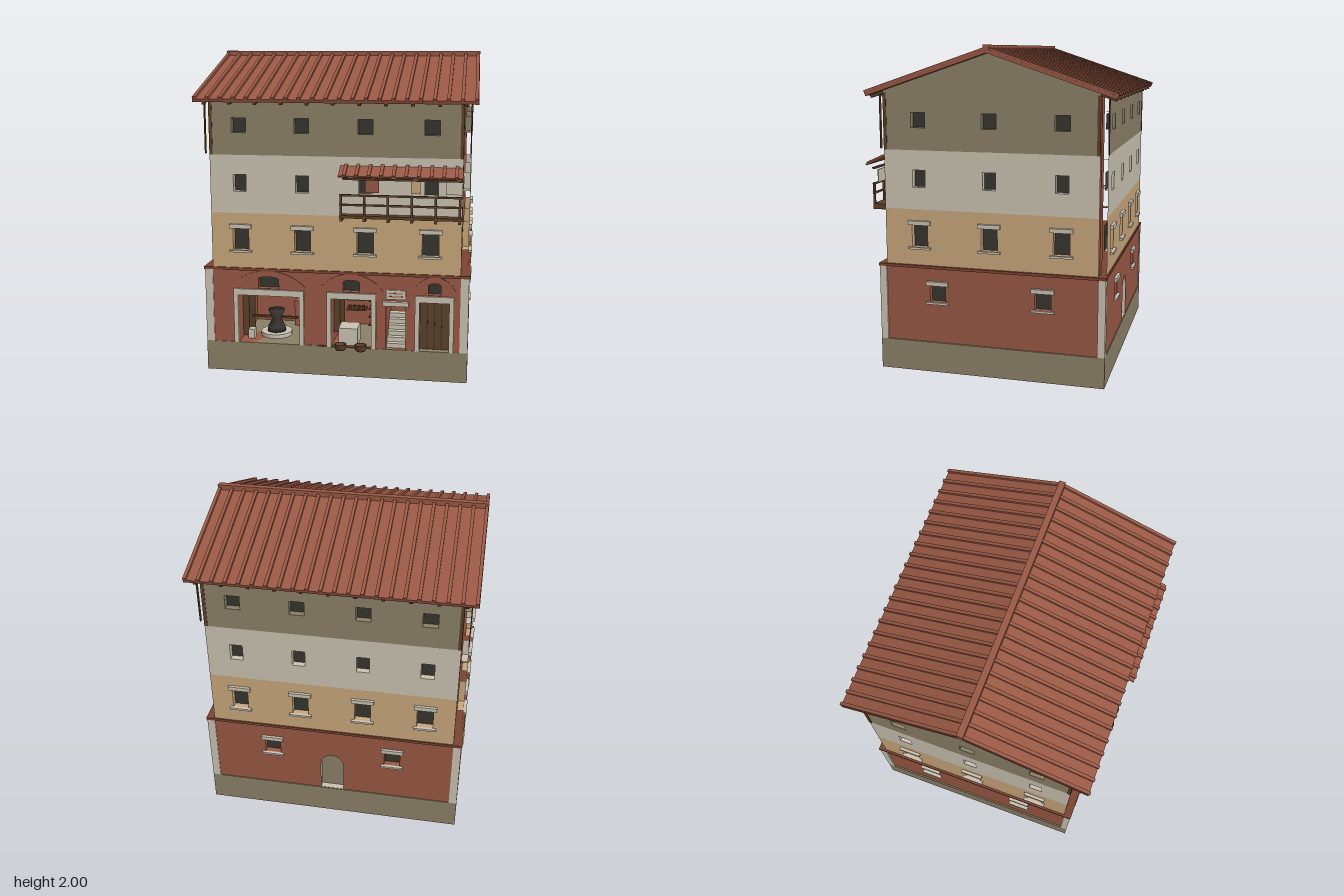
import * as THREE from 'three';

const mat = (name, color) => {
  const m = new THREE.MeshStandardMaterial({ color });
  m.name = name;
  return m;
};
const M = {
  olive: mat('olive plaster', 0x8c8168), cream: mat('cream plaster', 0xccc4b4),
  tan: mat('tan plaster', 0xcba87d), red: mat('brick red', 0x9a5945),
  wood: mat('dark wood', 0x5c4029), dark: mat('dark opening', 0x37352f),
  post: mat('red brown trim', 0x7c4433),
};

const add = (parent, name, geo, m, x = 0, y = 0, z = 0) => {
  const mesh = new THREE.Mesh(geo, m);
  mesh.name = name;
  mesh.position.set(x, y, z);
  parent.add(mesh);
  return mesh;
};
// Box given by its limits on each axis
const box = (parent, name, m, x0, x1, y0, y1, z0, z1) =>
  add(parent, name, new THREE.BoxGeometry(x1 - x0, y1 - y0, z1 - z0), m, (x0 + x1) / 2, (y0 + y1) / 2, (z0 + z1) / 2);
const group = (parent, name) => {
  const g = new THREE.Group();
  g.name = name;
  parent.add(g);
  return g;
};

// Opening outline, counterclockwise, with an optional curved top
function outline({ x, w, y0, y1, rise = 0 }) {
  const pts = [new THREE.Vector2(x - w / 2, y0), new THREE.Vector2(x + w / 2, y0)];
  const n = rise ? 10 : 1;
  for (let i = 0; i <= n; i++) {
    const a = (i / n) * Math.PI;
    pts.push(new THREE.Vector2(x + Math.cos(a) * w / 2, y1 - rise + Math.sin(a) * rise));
  }
  return pts;
}

// Inward-facing sides of a recess
function reveal(pts, depth) {
  const pos = [];
  pts.forEach((p, i) => {
    const q = pts[(i + 1) % pts.length];
    pos.push(p.x, p.y, 0, q.x, q.y, 0, q.x, q.y, -depth, p.x, p.y, 0, q.x, q.y, -depth, p.x, p.y, -depth);
  });
  const g = new THREE.BufferGeometry();
  g.setAttribute('position', new THREE.Float32BufferAttribute(pos, 3));
  g.computeVertexNormals();
  return g;
}

// One storey of one facade: a sheet with recessed openings
function storey(parent, name, m, half, y0, y1, openings) {
  const g = group(parent, name);
  const shape = new THREE.Shape(outline({ x: 0, w: half * 2, y0, y1 }));
  for (const o of openings) {
    const pts = outline(o), depth = o.depth ?? 0.04;
    shape.holes.push(new THREE.Path(pts.slice().reverse()));
    add(g, 'reveal', reveal(pts, depth), o.side ?? m);
    add(g, 'pane', new THREE.ShapeGeometry(new THREE.Shape(pts)), o.pane ?? M.dark, 0, 0, -depth);
    if (o.trim) {
      box(g, 'lintel', M.cream, o.x - 0.07, o.x + 0.07, o.y1 - 0.02, o.y1 + 0.006, 0, 0.018);
      box(g, 'sill', M.cream, o.x - 0.07, o.x + 0.07, o.y0 - 0.01, o.y0 + 0.003, 0, 0.02);
    }
  }
  add(g, 'wall', new THREE.ShapeGeometry(shape), m);
}

const row = (xs, w, y0, y1, trim) => xs.map(x => ({ x, w, y0, y1, trim }));

function facade(parent, name, angle, dist, half, xs, ground) {
  const f = group(parent, name);
  f.rotation.y = angle;
  f.position.set(Math.sin(angle) * dist, 0, Math.cos(angle) * dist);
  storey(f, 'groundStorey', M.red, half, 0.19, 0.67, ground);
  storey(f, 'firstStorey', M.tan, half, 0.67, 1.02, row(xs, 0.1, 0.785, 0.945, true));
  storey(f, 'secondStorey', M.cream, half, 1.02, 1.38, row(xs, 0.08, 1.155, 1.26));
  storey(f, 'topStorey', M.olive, half, 1.38, 1.725, row(xs, 0.09, 1.515, 1.605));
  for (const s of [-1, 1]) {
    add(f, 'cornerBoard', new THREE.BoxGeometry(0.02, 0.34, 0.006), M.wood, s * (half - 0.01), 1.55, 0);
  }
  return f;
}

// Shop doorway: stone surround and a flat relief arch above
function shopfront(f, x, w, archHalf) {
  const g = group(f, 'shopfront'), h = w / 2;
  for (const s of [-1, 1]) add(g, 'jamb', new THREE.BoxGeometry(0.028, 0.35, 0.012), M.cream, x + s * (h + 0.014), 0.365, 0.006);
  box(g, 'doorLintel', M.cream, x - h - 0.028, x + h + 0.028, 0.5, 0.54, 0, 0.012);
  const R = (archHalf ** 2 + 0.01) / 0.2, a = Math.asin(archHalf / R);
  const s = new THREE.Shape();
  s.absarc(0, 0, R, Math.PI / 2 - a, Math.PI / 2 + a, false);
  s.absarc(0, 0, R - 0.035, Math.PI / 2 + a, Math.PI / 2 - a, true);
  add(g, 'reliefArch', new THREE.ExtrudeGeometry(s, { depth: 0.006, bevelEnabled: false, curveSegments: 16 }), M.red, x, 0.66 - R, 0);
}

function shopInteriors(f) {
  const mill = group(f, 'bakeryMill');
  const lathe = pts => new THREE.LatheGeometry(pts.map(p => new THREE.Vector2(...p)), 20);
  add(mill, 'millBase', new THREE.CylinderGeometry(0.1, 0.1, 0.025, 20), M.cream, -0.41, 0.203, -0.18);
  add(mill, 'millStone', lathe([[0, 0], [0.06, 0], [0.055, 0.03], [0.028, 0.08], [0.055, 0.14], [0, 0.14]]), M.dark, -0.41, 0.216, -0.18);
  box(mill, 'millBeam', M.wood, -0.57, -0.25, 0.3, 0.312, -0.19, -0.17);
  box(f, 'bakeryCupboard', M.wood, -0.61, -0.57, 0.2, 0.48, -0.25, -0.1);
  box(f, 'flourSack', M.cream, -0.57, -0.53, 0.19, 0.25, -0.12, -0.07);
  box(f, 'oven', M.red, -0.33, -0.22, 0.19, 0.36, -0.44, -0.36);
  box(f, 'ovenMouth', M.dark, -0.28, -0.225, 0.305, 0.35, -0.36, -0.355);
  // Shop with counter and shelves
  box(f, 'counter', M.cream, 0.02, 0.14, 0.19, 0.3, -0.16, -0.03);
  box(f, 'shopCupboard', M.wood, -0.019, 0.02, 0.25, 0.48, -0.3, -0.1);
  for (const y of [0.31, 0.38]) {
    box(f, 'shelf', M.wood, 0.02, 0.15, y, y + 0.01, -0.44, -0.36);
    for (let i = 0; i < 4; i++) add(f, 'jar', new THREE.CylinderGeometry(0.01, 0.008, 0.02, 8), M.wood, 0.04 + i * 0.03, y + 0.02, -0.39);
  }
  for (let i = 0; i < 5; i++) box(f, 'rackBoard', M.wood, 0.175, 0.228, 0.23 + i * 0.055, 0.236 + i * 0.055, -0.4, -0.3);
  // Stair, sign and plaque
  for (let i = 0; i < 6; i++) box(f, 'step', M.cream, 0.322, 0.438, 0.19, 0.218 + i * 0.028, -0.08 - i * 0.035, -0.03 - i * 0.035);
  box(f, 'stairLintel', M.cream, 0.3, 0.46, 0.473, 0.5, 0, 0.025);
  box(f, 'plaque', M.cream, 0.32, 0.44, 0.512, 0.57, 0, 0.008);
  for (const y of [0.53, 0.55]) box(f, 'plaqueLine', M.red, 0.335, 0.425, y - 0.003, y + 0.003, 0.008, 0.01);
  // Double door leaves
  for (let i = 0; i < 3; i++) box(f, 'doorBatten', M.dark, 0.568 + i * 0.043, 0.574 + i * 0.043, 0.19, 0.5, -0.04, -0.034);
  // Baskets by the shop
  box(f, 'basketBoard', M.wood, -0.1, 0.23, 0.188, 0.194, -0.02, 0.012);
  for (const x of [0.045, 0.17]) {
    add(f, 'basket', lathe([[0, 0], [0.028, 0], [0.037, 0.015], [0.034, 0.03], [0.038, 0.037], [0.03, 0.037], [0.028, 0.015], [0, 0.012]]), M.wood, x, 0.19, 0.05);
  }
}

function balcony(f) {
  const g = group(f, 'balcony'), x0 = 0.04, x1 = 0.77;
  box(g, 'balconyFloor', M.wood, x0, x1, 1.018, 1.035, -0.03, 0.06);
  for (let i = 0; i < 6; i++) {
    const x = 0.05 + i * 0.141;
    box(g, 'balconyPost', M.wood, x - 0.007, x + 0.007, 1.0, 1.165, 0.05, 0.062);
    box(g, 'balconyJoist', M.wood, x - 0.008, x + 0.008, 1.0, 1.018, -0.03, 0.062);
  }
  for (const y of [1.1, 1.158]) box(g, 'balconyRail', M.wood, x0, x1, y - 0.006, y + 0.006, 0.05, 0.06);
  box(g, 'canopyBeam', M.wood, 0.06, x1, 1.25, 1.262, 0.045, 0.06);
  box(g, 'redCloth', M.red, 0.19, 0.275, 1.17, 1.25, 0.02, 0.025);
  box(g, 'tanCloth', M.tan, 0.465, 0.52, 1.17, 1.25, 0.02, 0.025);
  box(g, 'creamCloth', M.cream, 0.67, 0.77, 1.17, 1.25, 0.02, 0.025);
  const c = group(g, 'canopy');
  c.position.set((x0 + x1) / 2, 1.335, -0.03);
  c.rotation.x = 0.42;
  add(c, 'canopySlab', new THREE.BoxGeometry(x1 - x0, 0.01, 0.145), M.red, 0, 0, 0.0725);
  for (let i = 0; i < 10; i++) add(c, 'canopyRib', new THREE.BoxGeometry(0.02, 0.014, 0.147), M.red, -0.33 + i * 0.0733, 0.008, 0.0735);
}

function roof(parent) {
  const r = group(parent, 'roof'), drop = 0.255, run = 0.76;
  const L = Math.hypot(drop, run);
  for (const a of [0, Math.PI]) {
    const side = group(r, 'roofSide');
    side.rotation.y = a;
    const s = group(side, 'roofSlope');
    s.position.y = 1.975;
    s.rotation.x = Math.atan2(drop, run);
    add(s, 'roofSlab', new THREE.BoxGeometry(1.7, 0.02, L), M.red, 0, -0.01, L / 2);
    for (let i = 0; i < 22; i++) add(s, 'tileRib', new THREE.BoxGeometry(0.02, 0.02, L), M.red, -0.838 + i * 0.0798, 0.005, L / 2 + 0.002);
    for (let i = 0; i < 11; i++) add(s, 'rafterTail', new THREE.BoxGeometry(0.02, 0.018, 0.09), M.wood, -0.785 + i * 0.157, -0.028, L - 0.05);
  }
  box(r, 'ridgeCap', M.red, -0.85, 0.85, 1.955, 2, -0.02, 0.02);
}

export function createModel() {
  const model = new THREE.Group();
  model.name = 'townhouse';
  const b = group(model, 'building');
  b.position.z = -0.02;
  box(b, 'plinth', M.olive, -0.82, 0.82, 0, 0.19, -0.705, 0.705);
  box(b, 'cornice', M.post, -0.825, 0.825, 0.658, 0.675, -0.708, 0.708);

  const room = { side: M.red, pane: M.red, y0: 0.19 };
  const vent = (x, w) => ({ x, w, y0: 0.545, y1: 0.62, rise: 0.015 });
  const front = facade(b, 'frontFacade', 0, 0.7, 0.77, [-0.585, -0.197, 0.19, 0.585], [
    { ...room, x: -0.415, w: 0.39, y1: 0.5, depth: 0.45 },
    { ...room, x: 0.105, w: 0.25, y1: 0.5, depth: 0.45 },
    { ...room, x: 0.38, w: 0.12, y1: 0.473, depth: 0.3 },
    { x: 0.615, w: 0.18, y0: 0.19, y1: 0.5, pane: M.wood },
    vent(-0.415, 0.13), vent(0.105, 0.1), vent(0.615, 0.075),
  ]);
  shopfront(front, -0.415, 0.39, 0.235);
  shopfront(front, 0.105, 0.25, 0.195);
  shopfront(front, 0.615, 0.18, 0.13);
  shopInteriors(front);
  balcony(front);

  const small = x => ({ x, w: 0.1, y0: 0.445, y1: 0.572, trim: true });
  facade(b, 'backFacade', Math.PI, 0.7, 0.77, [-0.585, -0.197, 0.197, 0.585], [
    small(-0.39), small(0.39),
    { x: 0, w: 0.15, y0: 0.192, y1: 0.47, rise: 0.075, side: M.cream, pane: M.olive },
  ]);

  for (const s of [-1, 1]) {
    const f = facade(b, s > 0 ? 'leftFacade' : 'rightFacade', s * Math.PI / 2, 0.81, 0.66, [-0.44, 0, 0.44], [small(-0.33), small(0.33)]);
    const gable = new THREE.Shape([[-0.66, 1.725], [0.66, 1.725], [0.66, 1.735], [0, 1.96], [-0.66, 1.735]].map(p => new THREE.Vector2(...p)));
    add(f, 'gable', new THREE.ShapeGeometry(gable), M.olive);
    // Corner piers below, recessed posts above
    for (const t of [-1, 1]) {
      add(b, 'cornerPier', new THREE.BoxGeometry(0.05, 0.47, 0.045), M.cream, s * 0.795, 0.425, t * 0.6825);
      add(b, 'cornerPost', new THREE.BoxGeometry(0.08, 1.05, 0.08), M.red, s * 0.73, 1.2, t * 0.62);
    }
  }
  roof(b);
  return model;
}
